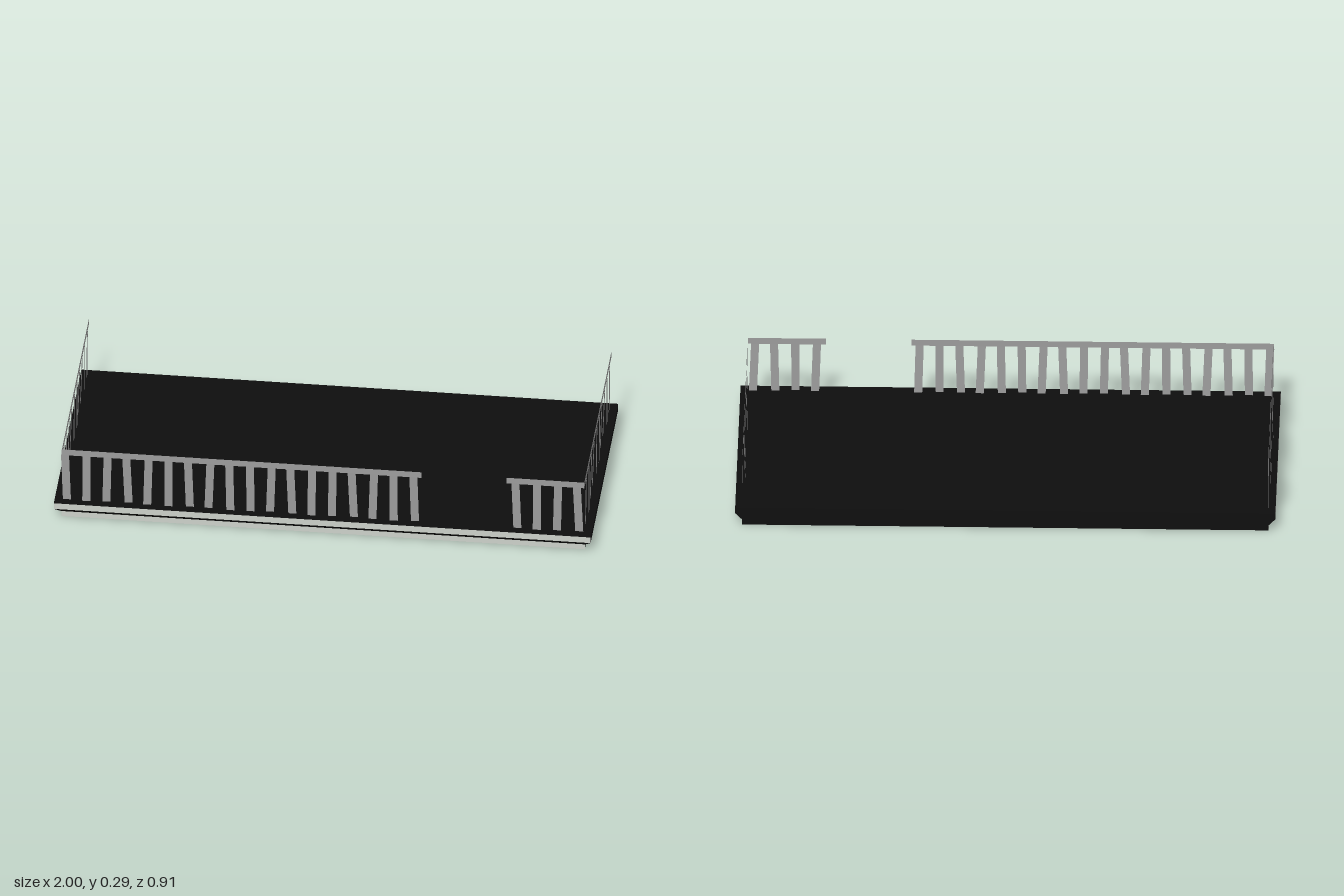
import * as THREE from 'three';

const mat = (name, color, side = THREE.FrontSide) => {
  const m = new THREE.MeshStandardMaterial({ color, side });
  m.name = name;
  return m;
};

// Mesh made of flat quads, corners counter-clockwise
function quadMesh(name, quads, material) {
  const pos = quads.flatMap(([a, b, c, d]) => [a, b, c, a, c, d].flat());
  const geo = new THREE.BufferGeometry();
  geo.setAttribute('position', new THREE.Float32BufferAttribute(pos, 3));
  geo.computeVertexNormals();
  const mesh = new THREE.Mesh(geo, material);
  mesh.name = name;
  return mesh;
}

export function createModel() {
  const model = new THREE.Group();
  model.name = 'balcony';
  const black = mat('blackDeck', 0x0e0e0e);
  const pale = mat('paleTrim', 0xcdd2ca);
  const grey = mat('greyRailing', 0x9c9c9c, THREE.DoubleSide);

  // Deck: stacked outlines with a flared lip on three sides and a flat back
  const ring = (y, x, zf) => [[-x, y, zf], [x, y, zf], [x, y, -0.443], [-x, y, -0.443]];
  const rings = [ring(0, 0.975, 0.425), ring(0.022, 0.975, 0.425), ring(0.048, 1, 0.453), ring(0.073, 1, 0.453)];
  const dark = [rings[3], [...rings[0]].reverse()];
  const light = [];
  for (let band = 0; band < 3; band++) {
    for (let side = 0; side < 4; side++) {
      const n = (side + 1) % 4, lo = rings[band], hi = rings[band + 1];
      // Pale bands run along the front and the -x end only
      const isPale = band !== 1 && (side === 0 || side === 3);
      (isPale ? light : dark).push([lo[side], lo[n], hi[n], hi[side]]);
    }
  }
  model.add(quadMesh('deck', dark, black), quadMesh('deckTrim', light, pale));

  // Railing of thin flat pieces, laid out along local x
  function railing(name, from, to, first, step, count) {
    const quads = [[[from, 0.27, 0], [to, 0.27, 0], [to, 0.295, 0], [from, 0.295, 0]]];
    const w = 0.015;
    for (let i = 0; i < count; i++) {
      const c = first + i * step;
      const lean = 0.004 * Math.sin(i * 2.3 + 1); // uneven, hand-set balusters
      const z = 0.004 * Math.sin(i * 1.7);
      quads.push([
        [c - w + lean, 0.07, z - 0.003], [c + w + lean, 0.07, z - 0.003],
        [c + w - lean, 0.272, 0.001], [c - w - lean, 0.272, 0.001],
      ]);
    }
    const mesh = quadMesh(name, quads, grey);
    model.add(mesh);
    return mesh;
  }

  railing('frontRailingLong', -0.975, 0.367, -0.958, 0.0763, 18).position.z = 0.423;
  railing('frontRailingShort', 0.683, 0.972, 0.72, 0.0765, 4).position.z = 0.423;
  for (const s of [-1, 1]) {
    const side = railing(s > 0 ? 'leftRailing' : 'rightRailing', -0.425, 0.453, -0.361, 0.084, 10);
    side.rotation.y = Math.PI / 2; // local +x runs towards the back
    side.position.x = s * 0.973;
  }
  return model;
}
